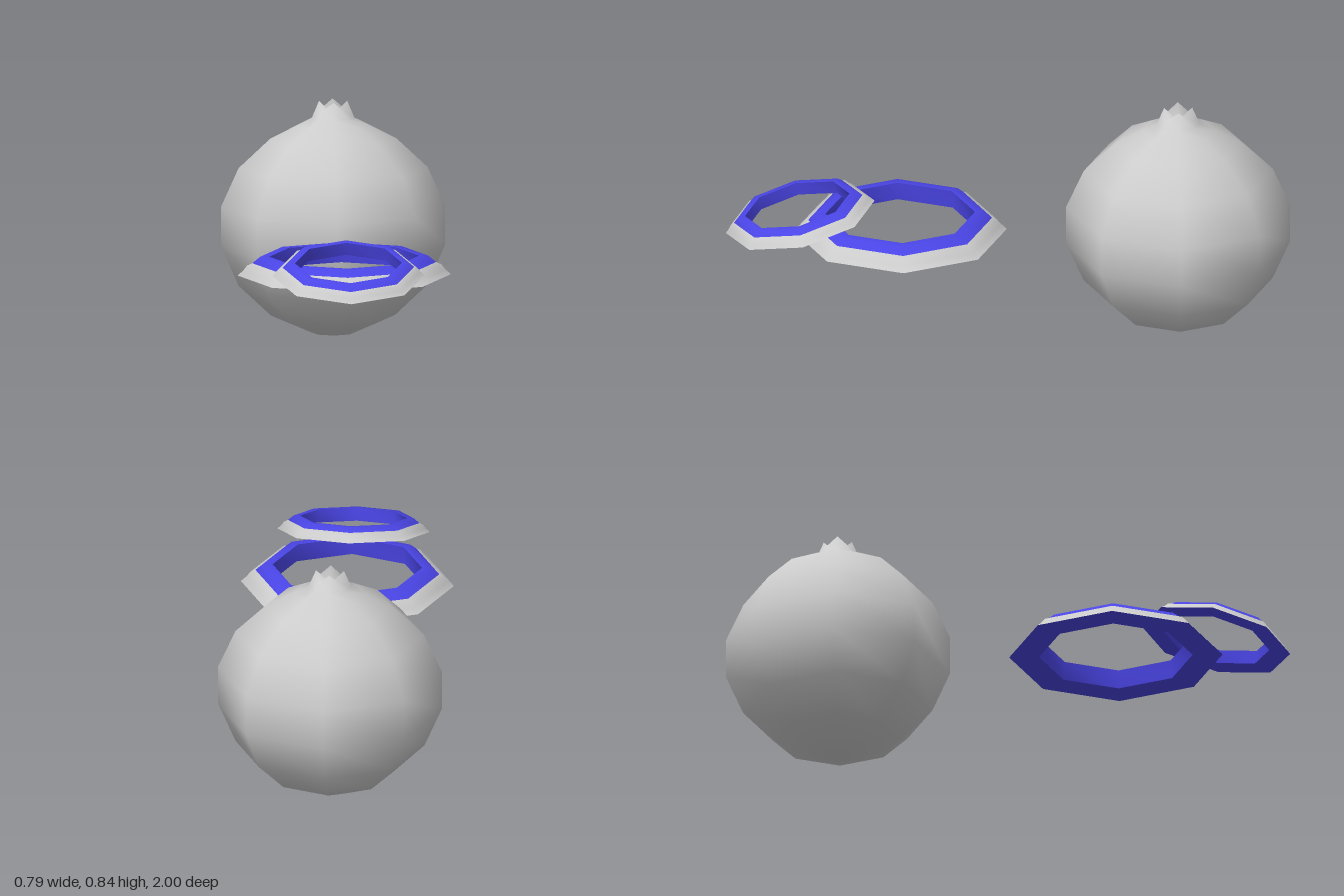
import * as THREE from 'three';
import { mergeVertices } from 'three/addons/utils/BufferGeometryUtils.js';

const SIDES = 8;
const grey = new THREE.MeshStandardMaterial({ color: 0xcccccc });
const blue = new THREE.MeshStandardMaterial({ color: 0x4a45e6 });

// Eight-sided turned shape, smooth across its seam; edit(x, y, z) may move points
function turned(profile, edit) {
  const geo = new THREE.LatheGeometry(profile.map(([r, y]) => new THREE.Vector2(r, y)), SIDES);
  if (edit) edit(geo.attributes.position, profile.length);
  geo.deleteAttribute('uv');
  geo.deleteAttribute('normal');
  const merged = mergeVertices(geo, 1e-5);
  merged.computeVertexNormals();
  return merged;
}

function part(name, geometry, material) {
  const mesh = new THREE.Mesh(geometry, material);
  mesh.name = name;
  return mesh;
}

// Round fruit with a pointed crown
function createFruit() {
  const profile = [
    [0, 0], [0.08, 0.01], [0.22, 0.07], [0.335, 0.178], [0.397, 0.32],
    [0.397, 0.462], [0.335, 0.6], [0.223, 0.705], [0.125, 0.755], [0.075, 0.78],
    [0.05, 0.84], [0, 0.79],
  ];
  const rim = profile.length - 2;
  const geo = turned(profile, (pos, rows) => {
    // Every second rim point drops to form the notches between crown tips
    for (let i = 1; i < SIDES; i += 2) pos.setY(i * rows + rim, 0.812);
  });
  return part('fruit', geo, grey);
}

// Sliced ring: grey rind outside, coloured flesh inside and underneath
function createRing(name) {
  const ring = new THREE.Group();
  ring.name = name;
  const rind = [[0.378, 0], [0.358, 0.018], [0.344, 0.036], [0.326, 0.044]];
  const top = [[0.326, 0.044], [0.298, 0.067], [0.265, 0.067]];
  const inner = [[0.265, 0.067], [0.272, 0]];
  const base = [[0.272, 0], [0.378, 0]];
  ring.add(
    part('rind', turned(rind), grey),
    part('fleshTop', turned(top), blue),
    part('fleshInside', turned(inner), blue),
    part('fleshUnderside', turned(base), blue),
  );
  return ring;
}

export function createModel() {
  const model = new THREE.Group();
  model.name = 'fruitAndRings';

  const fruit = createFruit();
  fruit.position.z = -0.603;

  const largeRing = createRing('largeRing');
  largeRing.position.set(0, 0.38, 0.382);

  // Smaller ring leaning on the large one
  const smallRing = createRing('smallRing');
  smallRing.scale.setScalar(0.715);
  smallRing.position.set(0, 0.437, 0.736);
  smallRing.rotation.x = 0.22;

  model.add(fruit, largeRing, smallRing);
  return model;
}
